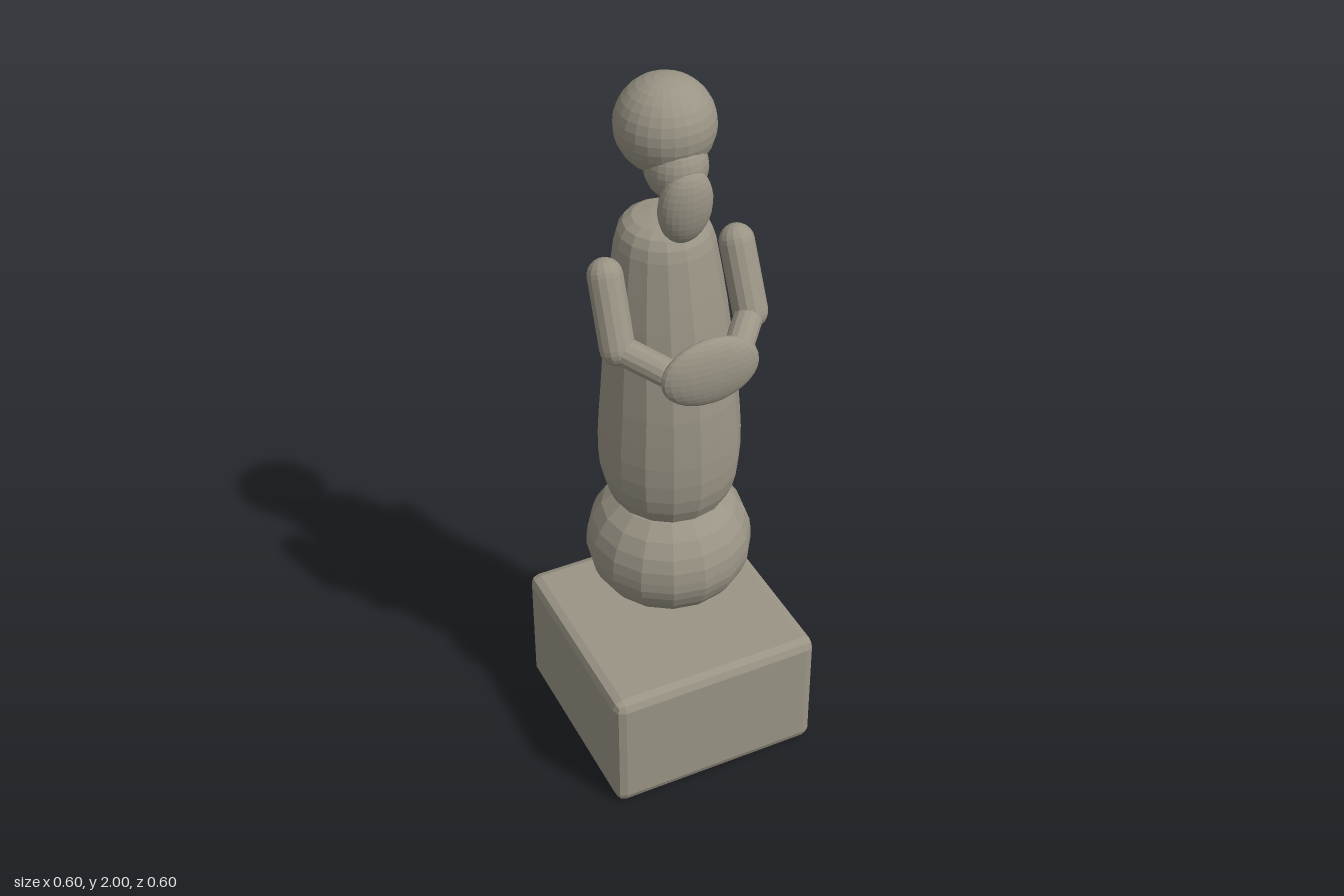
import * as THREE from 'three';
import { RoundedBoxGeometry } from 'three/addons/geometries/RoundedBoxGeometry.js';

export function createModel() {
  const model = new THREE.Group();
  const stone = new THREE.MeshStandardMaterial({ color: 0x9a9485, flatShading: true });
  stone.name = 'stone';

  function add(name, geometry, x = 0, y = 0, z = 0) {
    const mesh = new THREE.Mesh(geometry, stone);
    mesh.name = name;
    mesh.position.set(x, y, z);
    model.add(mesh);
    return mesh;
  }

  // Sixteen-sided turned form through [radius, height] points
  function turned(points) {
    const curve = new THREE.SplineCurve(points.map(([r, y]) => new THREE.Vector2(r, y)));
    const profile = curve.getPoints((points.length - 1) * 2);
    profile.forEach((p) => { p.x = Math.max(p.x, 0); });
    return new THREE.LatheGeometry(profile, 16);
  }

  function ellipsoid(rx, ry, rz) {
    return new THREE.SphereGeometry(1, 24, 16).scale(rx, ry, rz);
  }

  // Rounded limb between two centres
  function limb(name, a, b, radius) {
    const from = new THREE.Vector3(...a), to = new THREE.Vector3(...b);
    const dir = to.clone().sub(from);
    const mesh = add(name, new THREE.CapsuleGeometry(radius, dir.length(), 6, 14));
    mesh.position.copy(from).add(to).multiplyScalar(0.5);
    mesh.quaternion.setFromUnitVectors(new THREE.Vector3(0, 1, 0), dir.normalize());
  }

  // Bevelled plinth, separate from the figure above it
  add('plinth', new RoundedBoxGeometry(0.6, 0.37, 0.6, 1, 0.028), 0, 0.185, 0);

  // Bulbous hem
  add('hem', turned([[0, 0.455], [0.1, 0.473], [0.18, 0.522], [0.216, 0.585],
    [0.222, 0.64], [0.205, 0.71], [0.14, 0.785], [0, 0.81]]), 0, 0, -0.004);

  // Long robe, leaning back toward the shoulders
  const robe = turned([[0, 0.765], [0.125, 0.78], [0.172, 0.845], [0.186, 0.94], [0.182, 1.06],
    [0.168, 1.22], [0.152, 1.38], [0.132, 1.52], [0.117, 1.59], [0.08, 1.625], [0, 1.632]]);
  const pos = robe.attributes.position;
  for (let i = 0; i < pos.count; i++) {
    const lean = Math.max(0, (pos.getY(i) - 1.15) / 0.48);
    pos.setZ(i, pos.getZ(i) - 0.03 * lean);
  }
  robe.computeVertexNormals();
  add('robe', robe);

  // Head, jaw and hanging beard
  add('head', ellipsoid(0.124, 0.122, 0.124), 0, 1.878, -0.023);
  add('jaw', ellipsoid(0.078, 0.085, 0.078), 0, 1.795, 0.035);
  add('beard', ellipsoid(0.07, 0.105, 0.045), 0, 1.712, 0.085).rotation.x = 0.12;

  // Bent arms
  for (const side of [1, -1]) {
    const label = side > 0 ? 'left' : 'right';
    const elbow = [side * 0.182, 1.36, 0.085];
    limb(label + 'UpperArm', [side * 0.178, 1.525, 0.013], elbow, 0.045);
    limb(label + 'Forearm', elbow, [side * 0.1, 1.322, 0.175], 0.037);
  }

  // Oval disc held in front
  add('disc', ellipsoid(0.132, 0.094, 0.035), 0, 1.325, 0.226);

  return model;
}
